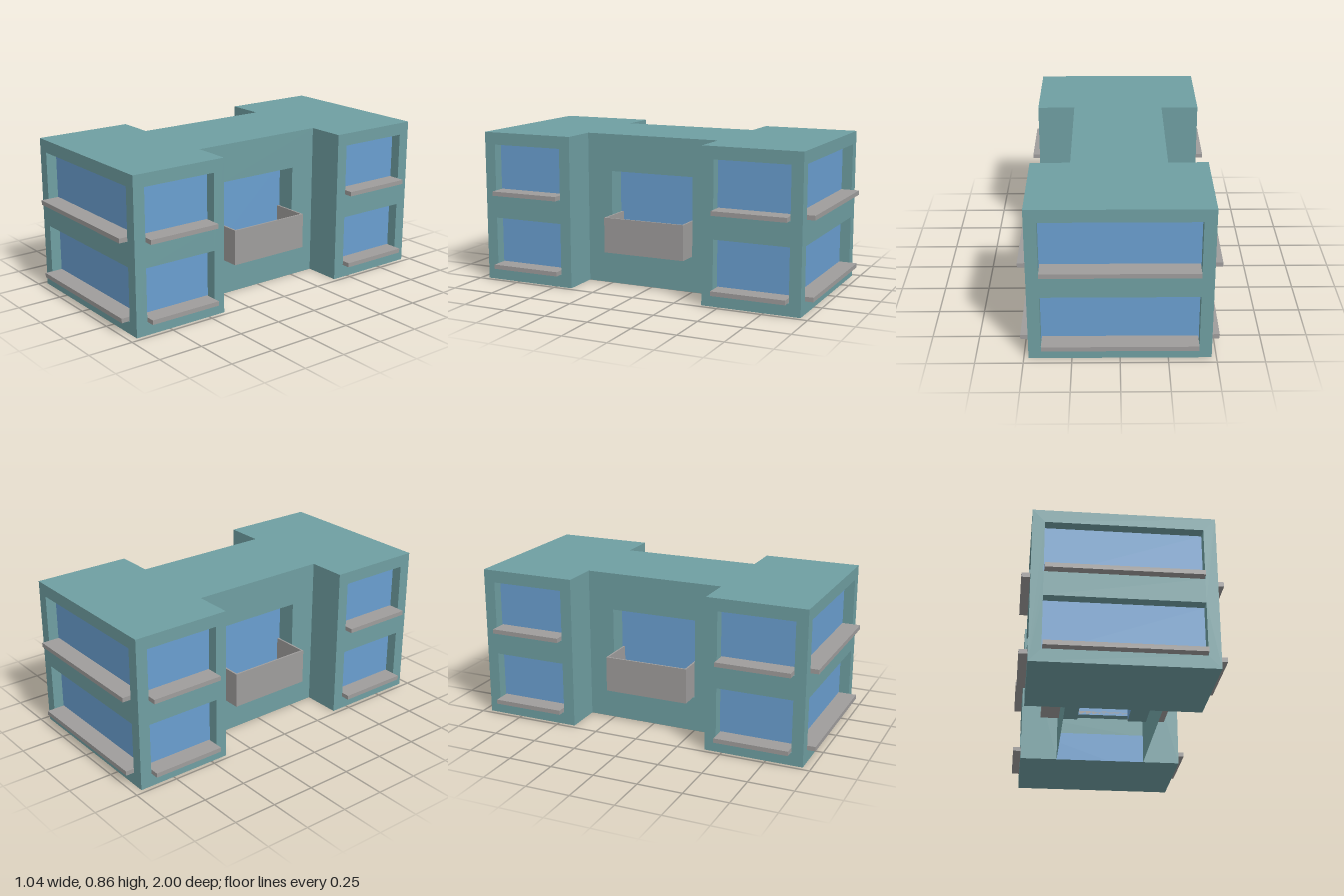
import * as THREE from 'three';

const H = 0.86;                 // building height
const X = 0.475, Z = 0.955;     // outer half width and half length
const BX = 0.26, BZ = 0.4;      // half width and half length of the connecting wing

const mat = (color) => new THREE.MeshStandardMaterial({ color, side: THREE.DoubleSide, flatShading: true });

export function createModel() {
  const model = new THREE.Group();
  const wallMat = mat(0x6f9fa2), glassMat = mat(0x6a9fd0), stoneMat = mat(0x9f9d9c);

  const add = (parent, name, geometry, material, x = 0, y = 0, z = 0) => {
    const mesh = new THREE.Mesh(geometry, material);
    mesh.name = name;
    mesh.position.set(x, y, z);
    parent.add(mesh);
    return mesh;
  };

  const rect = (Type, w, y0, y1) => {
    const p = new Type();
    p.moveTo(-w / 2, y0);
    p.lineTo(w / 2, y0);
    p.lineTo(w / 2, y1);
    p.lineTo(-w / 2, y1);
    p.closePath();
    return p;
  };

  // Thin wall facing local +z, with recessed openings {w, y0, y1, depth}
  const wall = (name, width, openings, x, z, angle) => {
    const group = new THREE.Group();
    group.name = name;
    const shape = rect(THREE.Shape, width, 0, H);
    for (const { w, y0, y1, depth } of openings) {
      shape.holes.push(rect(THREE.Path, w, y0, y1));
      const h = y1 - y0, cy = (y0 + y1) / 2;
      // Four-sided open sleeve lining the opening
      const reveal = new THREE.CylinderGeometry(Math.SQRT1_2, Math.SQRT1_2, 1, 4, 1, true)
        .rotateY(Math.PI / 4).rotateX(Math.PI / 2).scale(w, h, depth);
      add(group, 'windowReveal', reveal, wallMat, 0, cy, -depth / 2);
      add(group, 'windowGlass', new THREE.PlaneGeometry(w, h), glassMat, 0, cy, -depth);
    }
    add(group, 'wallPanel', new THREE.ShapeGeometry(shape), wallMat);
    group.position.set(x, 0, z);
    group.rotation.y = angle;
    model.add(group);
    return group;
  };

  // Two storeys of windows, each with a projecting sill
  const windowWall = (name, width, w, x, z, angle) => {
    const depth = 0.06, out = 0.045;
    const openings = [[0.07, 0.365], [0.5, 0.79]].map(([y0, y1]) => ({ w, y0, y1, depth }));
    const group = wall(name, width, openings, x, z, angle);
    for (const { y0 } of openings) {
      add(group, 'windowSill', new THREE.BoxGeometry(w - 0.008, 0.025, depth + out), stoneMat,
        0, y0 + 0.0135, (out - depth) / 2);
    }
  };

  // Wing wall with a tall opening and a deep balcony tray
  const balconyWall = (name, x, angle) => {
    const depth = 0.11, out = 0.107, y0 = 0.2, t = 0.01, w = 0.488, h = 0.2;
    const group = wall(name, 2 * BZ, [{ w: 0.5, y0, y1: 0.65, depth }], x, 0, angle);
    const len = depth + out, mid = (out - depth) / 2, y = y0 + 0.001;
    add(group, 'balconyFloor', new THREE.BoxGeometry(w, t, len), stoneMat, 0, y + t / 2, mid);
    add(group, 'balconyFront', new THREE.BoxGeometry(w, h, t), stoneMat, 0, y + h / 2, out - t / 2);
    for (const s of [-1, 1]) {
      add(group, 'balconyEnd', new THREE.BoxGeometry(t, h, len), stoneMat, s * (w - t) / 2, y + h / 2, mid);
    }
  };

  const blockDepth = Z - BZ, blockMid = (Z + BZ) / 2;
  for (const s of [1, -1]) {
    const end = s > 0 ? 'front' : 'back';
    windowWall(`${end}Wall`, 2 * X, 0.82, 0, s * Z, s > 0 ? 0 : Math.PI);
    for (const side of [1, -1]) {
      const label = side > 0 ? 'Left' : 'Right';
      windowWall(`${end}${label}Wall`, blockDepth, 0.425, side * X, s * blockMid, side * Math.PI / 2);
      wall(`${end}${label}Return`, X - BX, [], side * (X + BX) / 2, s * BZ, s > 0 ? Math.PI : 0);
    }
    // Floor under each end block; the wing is open underneath
    add(model, `${end}Floor`, new THREE.PlaneGeometry(2 * X, blockDepth).rotateX(Math.PI / 2),
      wallMat, 0, 0, s * blockMid);
    balconyWall(s > 0 ? 'leftWingWall' : 'rightWingWall', s * BX, s * Math.PI / 2);
  }

  // H-shaped flat roof
  const corner = [[X, Z], [X, BZ], [BX, BZ]];
  const half = [...corner, ...corner.map(([x, z]) => [x, -z]).reverse()];
  const outline = [...half, ...half.map(([x, z]) => [-x, -z])];
  const roof = new THREE.Shape(outline.map(([x, z]) => new THREE.Vector2(x, z)));
  add(model, 'roof', new THREE.ShapeGeometry(roof).rotateX(-Math.PI / 2), wallMat, 0, H, 0);

  return model;
}
